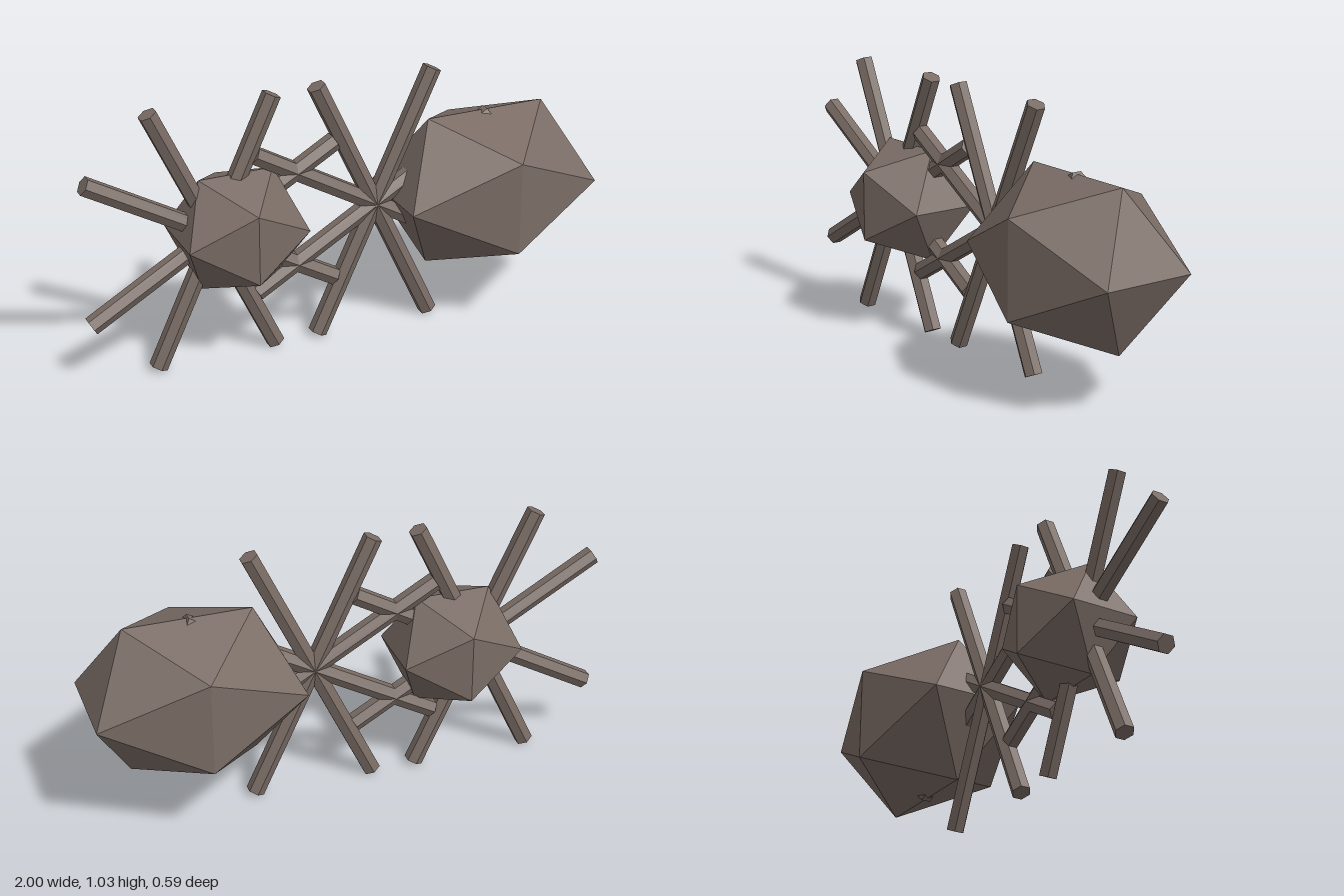
import * as THREE from 'three';

const CENTRE_Y = 0.517;

export function createModel() {
  const model = new THREE.Group();
  model.name = 'spider';
  const greyBrown = new THREE.MeshStandardMaterial({ color: 0x7a6c65, flatShading: true });
  greyBrown.name = 'greyBrown';

  // Faceted body segments, stretched along x
  const addSegment = (name, x, radius, stretch) => {
    const mesh = new THREE.Mesh(new THREE.IcosahedronGeometry(radius, 0), greyBrown);
    mesh.name = name;
    mesh.position.set(x, CENTRE_Y, 0);
    mesh.scale.x = stretch;
    model.add(mesh);
  };
  addSegment('head', -0.413, 0.2555, 1.075);
  addSegment('abdomen', 0.606, 0.349, 1.32);

  // Two fans of hexagonal rods, each rod forming a pair of opposite legs
  const legGeometry = new THREE.CylinderGeometry(0.036, 0.036, 1.11, 6);
  const addLegs = (name, x) => {
    const fan = new THREE.Group();
    fan.name = name;
    fan.position.set(x, CENTRE_Y, 0);
    for (const degrees of [-60, -25, 25, 60]) {
      const leg = new THREE.Mesh(legGeometry, greyBrown);
      leg.name = 'legPair';
      leg.rotation.z = THREE.MathUtils.degToRad(degrees);
      fan.add(leg);
    }
    model.add(fan);
  };
  addLegs('frontLegs', -0.503);
  addLegs('rearLegs', 0.14);

  return model;
}
